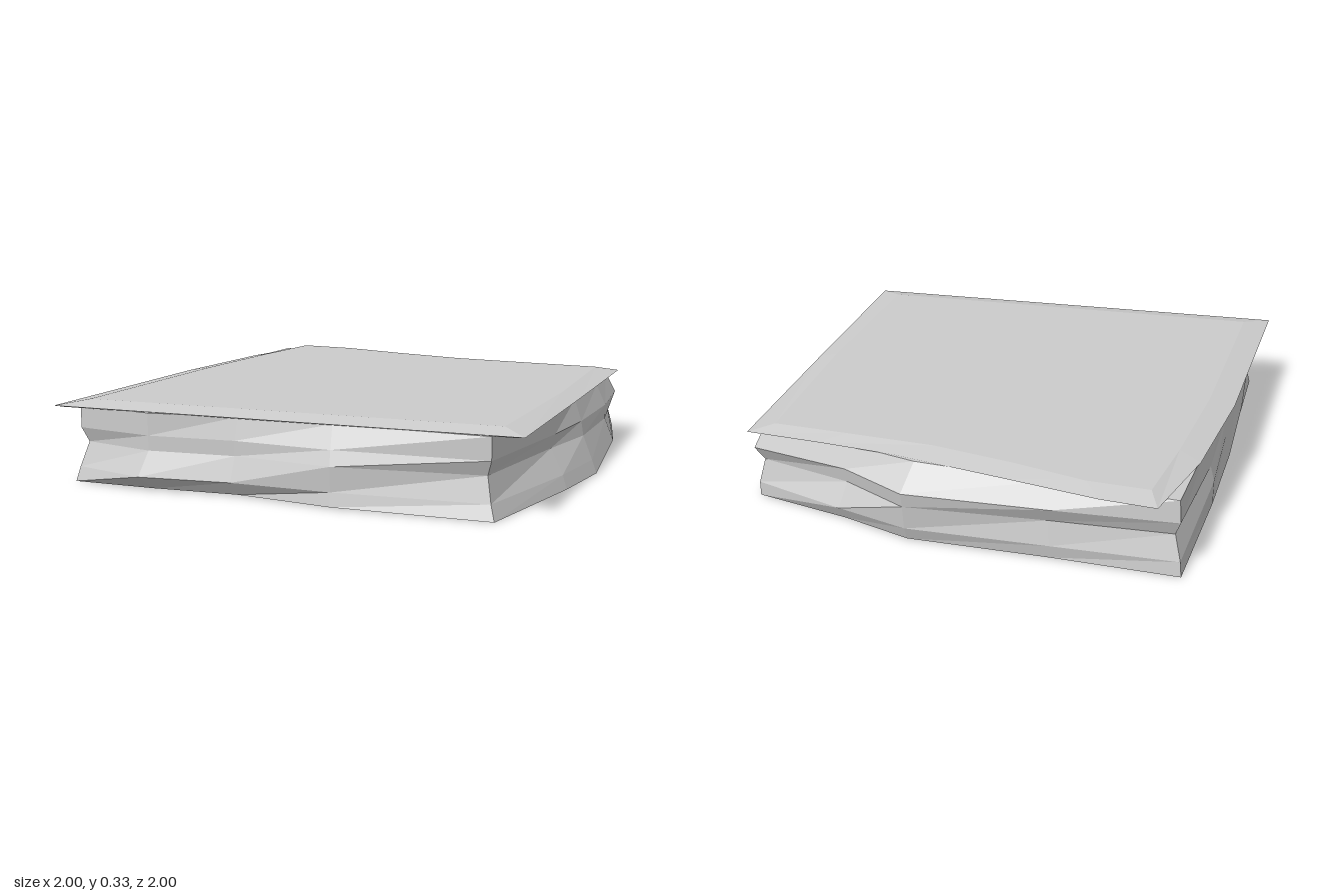
import * as THREE from 'three';

const material = new THREE.MeshStandardMaterial({ color: 0xcccccc, flatShading: true });

// Closed loft through rings of [x, y, z] points, bottom to top, with fan caps
function loft(rings, name) {
  const n = rings[0].length;
  const last = rings.length - 1;
  const points = rings.flat();
  const index = [];
  const centre = (ring) => [0, 1, 2].map((k) => ring.reduce((s, p) => s + p[k], 0) / n);
  points.push(centre(rings[0]), centre(rings[last]));
  for (let i = 0; i < n; i++) {
    const j = (i + 1) % n;
    for (let r = 0; r < last; r++) {
      const a = r * n + i, b = r * n + j;
      index.push(a, b, b + n, a, b + n, a + n);
    }
    index.push(j, i, points.length - 2);
    index.push(last * n + i, last * n + j, points.length - 1);
  }
  const indexed = new THREE.BufferGeometry();
  indexed.setAttribute('position', new THREE.Float32BufferAttribute(points.flat(), 3));
  indexed.setIndex(index);
  const geometry = indexed.toNonIndexed();
  geometry.computeVertexNormals();
  const mesh = new THREE.Mesh(geometry, material);
  mesh.name = name;
  return mesh;
}

// Rough stone block: one outline, pulled in by a different amount at each level
function makeStoneBase() {
  const outline = [
    [-0.94, 0.94], [-0.6, 1], [-0.22, 0.95], [0.2, 0.955],       // front
    [0.83, 0.915], [0.955, 0.35], [1, 0.03], [0.975, -0.4],      // right side
    [0.91, -0.76], [0.5, -0.87], [0.2, -0.975], [-0.38, -0.95],  // back
    [-0.88, -0.935], [-0.93, -0.45], [-0.945, 0], [-0.94, 0.5],  // left side
  ];
  const levels = [
    { y: 0.005, inset: [0.01, 0.07, 0.04, 0, 0, 0, 0, 0.04, 0.02, 0.03, 0.04, 0.02, 0, 0.03, 0.03, 0.01] },
    { y: 0.06, inset: [0.03, 0, 0, 0.01, 0.03, 0.02, 0.02, 0, 0.02, 0, 0.02, 0.01, 0.01, 0, 0, 0] },
    { y: 0.16, inset: [0.07, 0.05, 0.03, 0, 0.06, 0.08, 0.06, 0.04, 0.05, 0.05, 0.01, 0.03, 0.05, 0, 0.02, 0.03] },
    { y: 0.22, inset: [0.04, 0.05, 0.03, 0.02, 0.03, 0.06, 0.07, 0.04, 0.01, 0.04, 0, 0, 0.02, 0.02, 0.03, 0.04] },
    { y: 0.31, inset: [0.04, 0.05, 0.05, 0.06, 0.03, 0.06, 0.1, 0.08, 0.06, 0.08, 0.11, 0.06, 0.03, 0.04, 0.04, 0.03] },
  ];
  const rings = levels.map(({ y, inset }) => outline.map(([x, z], i) => {
    const s = 1 - inset[i] / Math.hypot(x, z);
    return [x * s, y, z * s];
  }));
  // Let the underside dip to the ground
  rings[0].forEach((p, i) => { if (i % 4 === 0) p[1] = 0; });
  return loft(rings, 'stoneBase');
}

// Thin overhanging slab with a shallow bevel up to its flat top
function makeTopSlab() {
  const edge = [
    [-1, 0.97], [0.93, 0.885], [0.92, 0], [0.905, -0.8], [0.6, -0.815], [0.27, -0.84],
    [-0.2, -0.92], [-0.57, -0.985], [-0.79, -1], [-0.89, -0.6], [-0.955, -0.05],
  ];
  const top = [
    [-0.89, 0.87], [0.83, 0.8], [0.84, 0], [0.81, -0.735], [0.5, -0.745], [0.13, -0.76],
    [-0.2, -0.82], [-0.5, -0.89], [-0.75, -0.9], [-0.8, -0.55], [-0.85, -0.05],
  ];
  const at = (ring, y, s = 1) => ring.map(([x, z]) => [x * s, y, z * s]);
  return loft([at(edge, 0.305, 0.97), at(edge, 0.313), at(top, 0.332)], 'topSlab');
}

export function createModel() {
  const model = new THREE.Group();
  model.name = 'stonePlatform';
  model.add(makeStoneBase(), makeTopSlab());
  return model;
}
